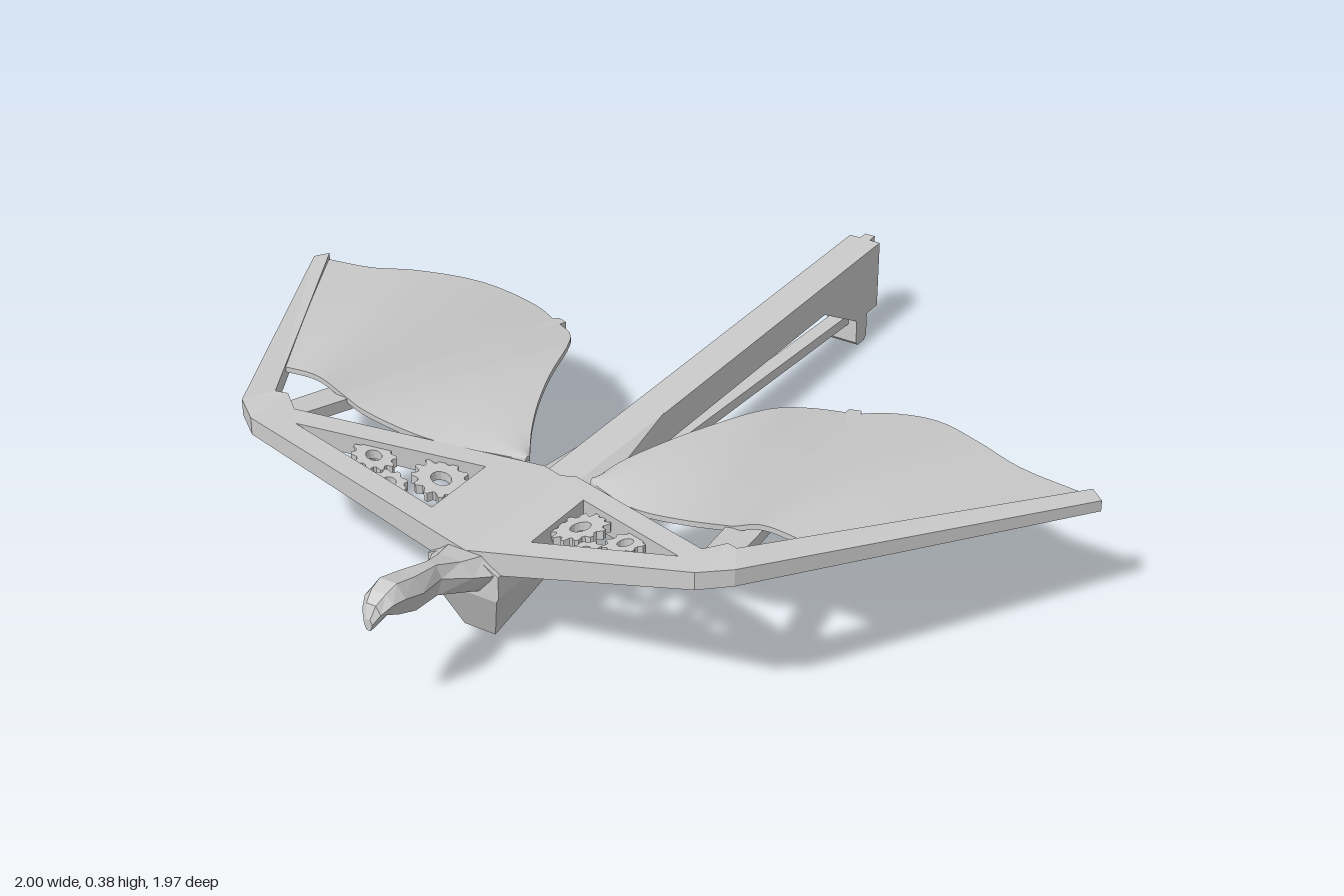
import * as THREE from 'three';
import { toCreasedNormals } from 'three/addons/utils/BufferGeometryUtils.js';

const flat = new THREE.MeshStandardMaterial({ color: 0xcccccc, flatShading: true, side: THREE.DoubleSide });
const smooth = new THREE.MeshStandardMaterial({ color: 0xcccccc, side: THREE.DoubleSide });

const V = (p) => new THREE.Vector3(...p);

function mesh(name, geometry, material = flat) {
  const m = new THREE.Mesh(geometry, material);
  m.name = name;
  return m;
}

// Side outline of [z, y] points, extruded across the body
function sideProfile(points, halfWidth) {
  const shape = new THREE.Shape(points.map(([z, y]) => new THREE.Vector2(z, y)));
  return new THREE.ExtrudeGeometry(shape, { depth: 2 * halfWidth, bevelEnabled: false })
    .rotateY(-Math.PI / 2).translate(halfWidth, 0, 0);
}

// Plan outline of [x, z] points, raised so its top follows topY(x, z)
function plate(side, points, holes, topY, thickness) {
  const toVec = ([x, z]) => new THREE.Vector2(side * x, -z);
  const shape = new THREE.Shape(points.map(toVec));
  holes.forEach((h) => shape.holes.push(new THREE.Path(h.map(toVec))));
  const g = new THREE.ExtrudeGeometry(shape, { depth: 1, bevelEnabled: false }).rotateX(-Math.PI / 2);
  const pos = g.attributes.position;
  for (let i = 0; i < pos.count; i++) {
    const x = Math.abs(pos.getX(i));
    pos.setY(i, topY(x, pos.getZ(i)) - (1 - pos.getY(i)) * thickness(x));
  }
  g.computeVertexNormals();
  return g;
}

// Skin closed rings (equal point counts), with fan caps at both ends
function skin(rings, flip = false) {
  const n = rings[0].length;
  const index = [];
  const tri = (a, b, c) => (flip ? index.push(a, c, b) : index.push(a, b, c));
  for (let r = 0; r < rings.length - 1; r++) {
    for (let i = 0; i < n; i++) {
      const a = r * n + i, b = r * n + (i + 1) % n;
      tri(a, b, a + n);
      tri(b, b + n, a + n);
    }
  }
  const last = (rings.length - 1) * n;
  for (let i = 0; i < n / 2 - 1; i++) {
    const j = n - 1 - i;
    tri(i, j, i + 1);
    tri(j, j - 1, i + 1);
    tri(last + i, last + i + 1, last + j);
    tri(last + j, last + i + 1, last + j - 1);
  }
  const g = new THREE.BufferGeometry();
  g.setAttribute('position', new THREE.Float32BufferAttribute(rings.flat(2), 3));
  g.setIndex(index);
  g.computeVertexNormals();
  return g;
}

// Mirror a half section of [x, y] points (top to bottom) into a ring at z
const ring = (z, half) => [
  ...half.map(([x, y]) => [-x, y, z]),
  ...half.slice().reverse().map(([x, y]) => [x, y, z]),
];

// Thin sheet stretched between a front and a rear curve
function membrane(side, front, rear) {
  const f = new THREE.CatmullRomCurve3(front.map(V));
  const r = new THREE.CatmullRomCurve3(rear.map(V));
  const U = 20, W = 8, rings = [];
  for (let u = 0; u <= U; u++) {
    const a = f.getPoint(u / U), b = r.getPoint(u / U);
    const top = [], bottom = [];
    for (let w = 0; w <= W; w++) {
      const p = a.clone().lerp(b, w / W);
      const y = p.y + 0.006 * Math.sin(Math.PI * w / W);
      top.push([side * p.x, y, p.z]);
      bottom.unshift([side * p.x, y - 0.012, p.z]);
    }
    rings.push([...top, ...bottom]);
  }
  return toCreasedNormals(skin(rings, side < 0), 0.7);
}

// Wing heights: inner frame climbs to the elbow, outer arm falls to the tip
const wingTop = (x) => Math.min(0.24 + 0.255 * x, 0.378, 0.378 - 0.25 * (x - 0.59));
const wingThick = (x) => 0.055 - 0.03 * x;
const ribTop = (x, z) => 0.237 + (z + 0.23) * 0.14;

function circle(cx, cz, radius, steps) {
  return Array.from({ length: steps }, (_, i) => {
    const a = (i / steps) * Math.PI * 2, r = radius(i);
    return [cx + r * Math.cos(a), cz + r * Math.sin(a)];
  });
}

function gear(side, x, z, r, teeth) {
  const outline = circle(x, z, (i) => (i % 4 < 2 ? r : r * 0.8), teeth * 4);
  const bore = circle(x, z, () => r * 0.36, 14);
  return plate(side, outline, [bore], (px) => wingTop(px) - 0.014, () => 0.02);
}

function wing(side) {
  const g = new THREE.Group();
  g.name = side > 0 ? 'leftWing' : 'rightWing';
  // Triangular frame with an open window
  g.add(mesh('wingFrame', plate(side,
    [[0, 0.67], [0.53, 0.67], [0.53, 0.55], [0.49, 0.58], [0.04, 0.335], [0, 0.335]],
    [[[0.12, 0.615], [0.12, 0.43], [0.46, 0.615]]], wingTop, wingThick)));
  g.add(mesh('elbow', plate(side,
    [[0.53, 0.67], [0.59, 0.625], [0.555, 0.56], [0.53, 0.55]], [], wingTop, wingThick)));
  g.add(mesh('outerArm', plate(side,
    [[0.59, 0.625], [1, -0.12], [0.97, -0.14], [0.555, 0.56]], [], wingTop, wingThick)));
  // Rib under the membrane, with a small finger at its tip
  g.add(mesh('rib', plate(side,
    [[0.49, 0.6], [0.55, 0.57], [0.53, 0.44], [0.4, -0.215], [0.39, -0.235], [0.365, -0.225],
      [0.37, -0.18], [0.46, 0.44]], [], ribTop, () => 0.027)));
  g.add(mesh('outerMembrane', membrane(side,
    [[0.475, 0.335, 0.44], [0.54, 0.36, 0.44], [0.64, 0.355, 0.44]],
    [[0.39, 0.236, -0.22], [0.45, 0.25, -0.235], [0.58, 0.285, -0.21], [0.72, 0.308, -0.14],
      [0.82, 0.297, -0.115], [0.97, 0.272, -0.13]]), smooth));
  g.add(mesh('innerMembrane', membrane(side,
    [[0.08, 0.256, 0.345], [0.25, 0.302, 0.445], [0.39, 0.335, 0.47], [0.475, 0.335, 0.44]],
    [[0.08, 0.256, 0.33], [0.11, 0.28, 0.28], [0.15, 0.293, 0.2], [0.2, 0.295, 0.08],
      [0.26, 0.278, -0.08], [0.31, 0.255, -0.16], [0.39, 0.236, -0.22]]), smooth));
  // Gear train in the window
  [[0.17, 0.515, 0.06, 12], [0.305, 0.56, 0.046, 10], [0.235, 0.6, 0.036, 8]].forEach((p, i) =>
    g.add(mesh('gear' + (i + 1), gear(side, ...p))));
  return g;
}

export function createModel() {
  const model = new THREE.Group();
  model.name = 'wingedGlider';

  // Long beam with a dropped rear hook
  model.add(mesh('beam', sideProfile([
    [0.66, 0.235], [-0.96, 0.235], [-0.96, 0.068], [-0.91, 0.068], [-0.91, 0.01], [-0.9, 0],
    [-0.87, 0], [-0.86, 0.01], [-0.86, 0.068], [-0.7, 0.158], [0.66, 0.158],
  ], 0.04)));
  model.add(mesh('rearNub', sideProfile(
    [[-0.95, 0.235], [-0.985, 0.235], [-0.985, 0.16], [-0.95, 0.16]], 0.013)));
  model.add(mesh('lowerRod', sideProfile(
    [[0.4, 0.134], [-0.88, 0.079], [-0.88, 0.054], [0.4, 0.109]], 0.018)));

  // Keeled hull: z, half width, keel half width, keel height
  const hull = [[0, 0.04, 0.038, 0.157], [0.34, 0.085, 0.04, 0.1], [0.63, 0.085, 0.038, 0.03],
    [0.68, 0.085, 0.08, 0.15]];
  model.add(mesh('hull', skin(hull.map(([z, w, kw, ky]) =>
    ring(z, [[0.039, 0.236], [w, 0.21], [w, 0.16], [kw, ky]])), true)));

  // Neck, head and hooked beak: z, half width, bottom, top
  const head = [[0.66, 0.085, 0.155, 0.238], [0.72, 0.055, 0.178, 0.25], [0.78, 0.024, 0.2, 0.27],
    [0.86, 0.04, 0.213, 0.29], [0.915, 0.04, 0.235, 0.305], [0.945, 0.034, 0.25, 0.297],
    [0.97, 0.022, 0.238, 0.282], [0.982, 0.01, 0.23, 0.255]];
  model.add(mesh('neckAndHead', skin(head.map(([z, w, b, t]) =>
    ring(z, [[w * 0.5, t], [w, b + (t - b) * 0.6], [w * 0.5, b]])), true)));

  model.add(wing(1), wing(-1));
  return model;
}
